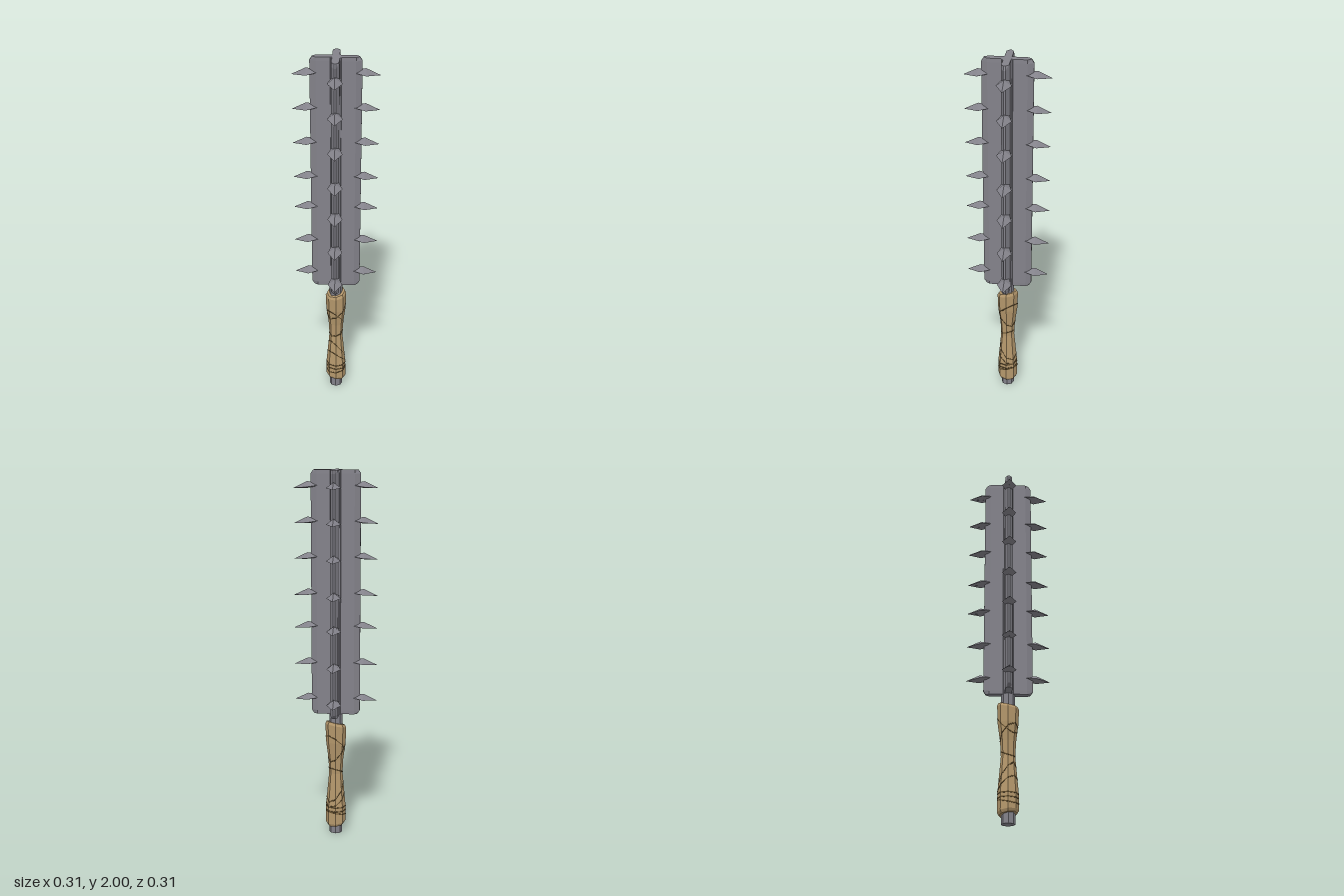
import * as THREE from 'three';

// Skin a list of closed rings (counter-clockwise about the direction of travel), flat faceted
function loft(rings) {
  const pos = [];
  const tri = (...pts) => pts.forEach((p) => pos.push(...p));
  const n = rings[0].length;
  const centre = (ring) => [0, 1, 2].map((k) => ring.reduce((s, p) => s + p[k], 0) / n);
  for (let i = 0; i < n; i++) {
    const j = (i + 1) % n;
    for (let r = 0; r + 1 < rings.length; r++) {
      const a = rings[r], b = rings[r + 1];
      tri(a[i], a[j], b[j]);
      tri(a[i], b[j], b[i]);
    }
    const first = rings[0], last = rings[rings.length - 1];
    tri(centre(first), first[j], first[i]);
    tri(centre(last), last[i], last[j]);
  }
  const g = new THREE.BufferGeometry();
  g.setAttribute('position', new THREE.Float32BufferAttribute(pos, 3));
  g.computeVertexNormals();
  return g;
}

// Grip profile as [height, radius]
const PROFILE = [[0.05, 0.047], [0.065, 0.055], [0.16, 0.054], [0.25, 0.046],
  [0.35, 0.037], [0.43, 0.041], [0.53, 0.054], [0.62, 0.057], [0.635, 0.05]];

function gripRadius(y) {
  for (let i = 0; i + 1 < PROFILE.length; i++) {
    const [y0, r0] = PROFILE[i], [y1, r1] = PROFILE[i + 1];
    if (y <= y1) return THREE.MathUtils.lerp(r0, r1, Math.max(0, (y - y0) / (y1 - y0)));
  }
  return 0.05;
}

// Eight-sided ring, tilted across x
function octagon(radiusAt, y, slope) {
  return Array.from({ length: 8 }, (_, i) => {
    const a = (i * Math.PI) / 4;
    const s = Math.sin(a), c = Math.cos(a);
    const h = y + slope * s * 0.05;
    const r = radiusAt(h);
    return [s * r * 0.97, h, c * r * 1.04];
  });
}

export function createModel() {
  const metal = new THREE.MeshStandardMaterial({ color: 0x83828a });
  metal.name = 'grey metal';
  const leather = new THREE.MeshStandardMaterial({ color: 0xb5986c });
  leather.name = 'tan leather';
  const cord = new THREE.MeshStandardMaterial({ color: 0x64502f });
  cord.name = 'dark seam';

  const model = new THREE.Group();
  model.name = 'spikedMace';
  const add = (parent, name, geometry, material) => {
    const mesh = new THREE.Mesh(geometry, material);
    mesh.name = name;
    parent.add(mesh);
    return mesh;
  };

  // Octagonal rod through the whole weapon
  const rod = new THREE.CylinderGeometry(0.036, 0.036, 1.998, 8).toNonIndexed();
  rod.computeVertexNormals();
  add(model, 'rod', rod, metal).position.y = 0.999;

  // Leather grip with a slanted top and bottom
  const last = PROFILE.length - 1;
  add(model, 'grip', loft(PROFILE.map(([y, r], i) =>
    octagon(() => r, y, i >= last - 1 ? 0.28 : i < 2 ? -0.2 : 0))), leather);

  // Seams of the wrapping, as [height, slope]
  const seams = [[0.52, 1.0], [0.47, -1.1], [0.365, 0.3], [0.25, -1.3],
    [0.2, -0.9], [0.155, 0], [0.132, 0], [0.115, 0.25]];
  for (const [y, slope] of seams) {
    const ring = (dy, dr) => octagon((h) => gripRadius(h) + dr, y + dy, slope);
    add(model, 'gripSeam', loft([ring(-0.004, -0.002), ring(-0.003, 0.0015),
      ring(0.003, 0.0015), ring(0.004, -0.002)]), cord);
  }

  // Bevelled flange with clipped corners
  const section = (y, R, t) => [[0, t], [0.1, t], [R, 0.005], [R, -0.005], [0.1, -t], [0, -t]]
    .map(([x, z]) => [x, y, z]);
  const flange = loft([section(0.69, 0.118, 0.019), section(0.71, 0.131, 0.02),
    section(1.98, 0.131, 0.02), section(2, 0.118, 0.019)]);

  // Faceted spike pointing out and slightly down
  const diamond = (x, top, side, bottom, w) => [[x, top, 0], [x, side, w], [x, bottom, 0], [x, side, -w]];
  const spike = loft([diamond(0.08, 0.024, 0.017, 0.01, 0.015),
    diamond(0.15, 0.035, 0.006, 0, 0.039), diamond(0.222, 0.0005, 0, -0.0005, 0.0005)]);
  const heights = [0.767, 0.965, 1.165, 1.342, 1.535, 1.722, 1.905];

  for (let k = 0; k < 4; k++) {
    const arm = new THREE.Group();
    arm.name = 'flangeArm';
    arm.rotation.y = Math.PI / 4 + (k * Math.PI) / 2;
    add(arm, 'flange', flange, metal);
    for (const y of heights) add(arm, 'spike', spike, metal).position.y = y;
    model.add(arm);
  }
  return model;
}
